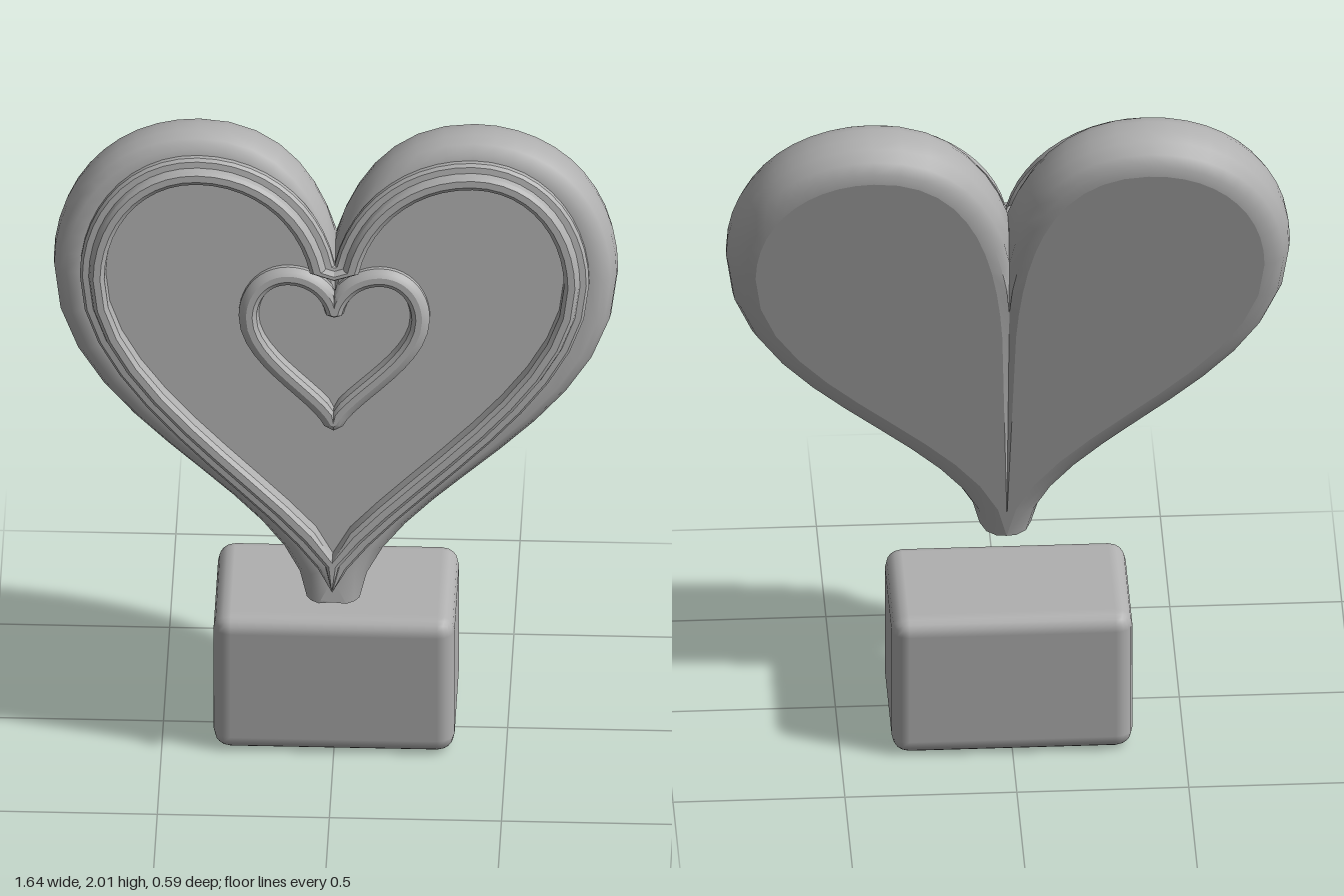
import * as THREE from 'three';
import { toCreasedNormals } from 'three/addons/utils/BufferGeometryUtils.js';
import { RoundedBoxGeometry } from 'three/addons/geometries/RoundedBoxGeometry.js';

const V = (x, y) => new THREE.Vector2(x, y);
const bezier = (...p) => new THREE.CubicBezierCurve(...p.map(([x, y]) => V(x, y)));

// Right half of the rim, from the notch over the lobe to the tip
const rimCurves = [
  bezier([0, 1.6], [0.04, 1.79], [0.2, 1.93], [0.4, 1.93]),
  bezier([0.4, 1.93], [0.6, 1.93], [0.74, 1.76], [0.74, 1.555]),
  bezier([0.74, 1.555], [0.74, 1.15], [0.11, 0.83], [0, 0.57]),
];

// Petal of the body: up the centre seam, over the lobe, down to the stem
const petalCurves = [
  new THREE.LineCurve(V(0, 0.6), V(0.02, 1.3)),
  bezier([0.02, 1.3], [0.04, 1.62], [0.12, 1.91], [0.4, 1.91]),
  bezier([0.4, 1.91], [0.6, 1.91], [0.74, 1.76], [0.74, 1.555]),
  bezier([0.74, 1.555], [0.74, 1.1], [0.04, 0.92], [0, 0.53]),
];

// Points along the curves, offset outward by d and kept right of the centre
function offsetPoints(curves, d, scale = 1, tipY = 0.57, n = 11) {
  const points = [];
  curves.forEach((curve, c) => {
    for (let i = c ? 1 : 0; i <= n; i++) {
      const p = curve.getPoint(i / n), t = curve.getTangent(i / n);
      points.push(V(
        Math.max(0, p.x * scale - t.y * d),
        tipY + (p.y - 0.57) * scale + t.x * d));
    }
  });
  return points;
}

const petalRing = (d) => offsetPoints(petalCurves, d);

// Whole heart outline: right half closed on the centre line, then mirrored
function heartRing(d, scale, tipY) {
  const right = offsetPoints(rimCurves, d, scale, tipY);
  const first = right[0], last = right[right.length - 1];
  right.unshift(V(0, first.y + Math.min(0, d) * 0.3));
  right.push(V(0, last.y - Math.max(0, d) * 0.5));
  const left = right.slice(1, -1).reverse().map((p) => V(-p.x, p.y));
  return right.concat(left);
}

// Skin an [offset, z] profile around a closed outline
function loft(ringAt, profile, crease) {
  const pos = [], idx = [];
  profile.forEach(([d, z], r) => {
    const ring = ringAt(d), n = ring.length;
    ring.forEach((p, i) => {
      pos.push(p.x, p.y, z);
      if (r === profile.length - 1) return;
      const a = r * n + i, b = r * n + (i + 1) % n;
      idx.push(a, a + n, b, b, a + n, b + n);
    });
  });
  const g = new THREE.BufferGeometry();
  g.setAttribute('position', new THREE.Float32BufferAttribute(pos, 3));
  g.setIndex(idx);
  return toCreasedNormals(g, crease);
}

export function createModel() {
  const model = new THREE.Group();
  const grey = new THREE.MeshStandardMaterial({ color: 0xb0b0b0, side: THREE.DoubleSide });
  grey.name = 'plain grey';
  const add = (parent, name, geometry) => {
    const mesh = new THREE.Mesh(geometry, grey);
    mesh.name = name;
    parent.add(mesh);
    return mesh;
  };

  // Heart leaning back
  const heart = new THREE.Group();
  heart.name = 'leaningHeart';
  heart.rotation.x = -THREE.MathUtils.degToRad(10);
  model.add(heart);

  // Two mirrored petals with bulging sides meeting at the seam
  const wall = loft(petalRing, [
    [0, 0.13], [0.03, 0.137], [0.058, 0.16], [0.075, 0.2], [0.08, 0.24],
    [0.077, 0.285], [0.062, 0.32], [0.04, 0.345], [0, 0.345],
  ], 0.9);
  const face = new THREE.ShapeGeometry(new THREE.Shape(petalRing(0)));
  const backFace = face.clone().rotateY(Math.PI).scale(-1, 1, 1);
  backFace.setIndex([...backFace.index.array].reverse());
  for (const [name, side] of [['leftPetal', 1], ['rightPetal', -1]]) {
    const petal = new THREE.Group();
    petal.name = name;
    petal.scale.x = side;
    add(petal, 'petalWall', wall);
    add(petal, 'petalFront', face).position.z = 0.345;
    add(petal, 'petalBack', backFace).position.z = 0.13;
    heart.add(petal);
  }

  // Stepped rim around the front
  add(heart, 'outerRim', loft((d) => heartRing(d, 1, 0.57), [
    [0, 0.345], [0, 0.365], [-0.008, 0.376], [-0.026, 0.378], [-0.03, 0.395],
    [-0.04, 0.405], [-0.06, 0.405], [-0.072, 0.394], [-0.075, 0.345],
  ], 0.5));

  // Small raised heart outline
  add(heart, 'innerHeart', loft((d) => heartRing(d, 0.335, 1.105), [
    [0.03, 0.345], [0.03, 0.362], [0.02, 0.375], [0.008, 0.382],
    [-0.01, 0.382], [-0.022, 0.373], [-0.028, 0.345],
  ], 0.5));

  // Block below the heart
  add(model, 'baseBlock', new RoundedBoxGeometry(0.7, 0.455, 0.45, 2, 0.05))
    .position.set(0, 0.2275, -0.065);

  return model;
}
